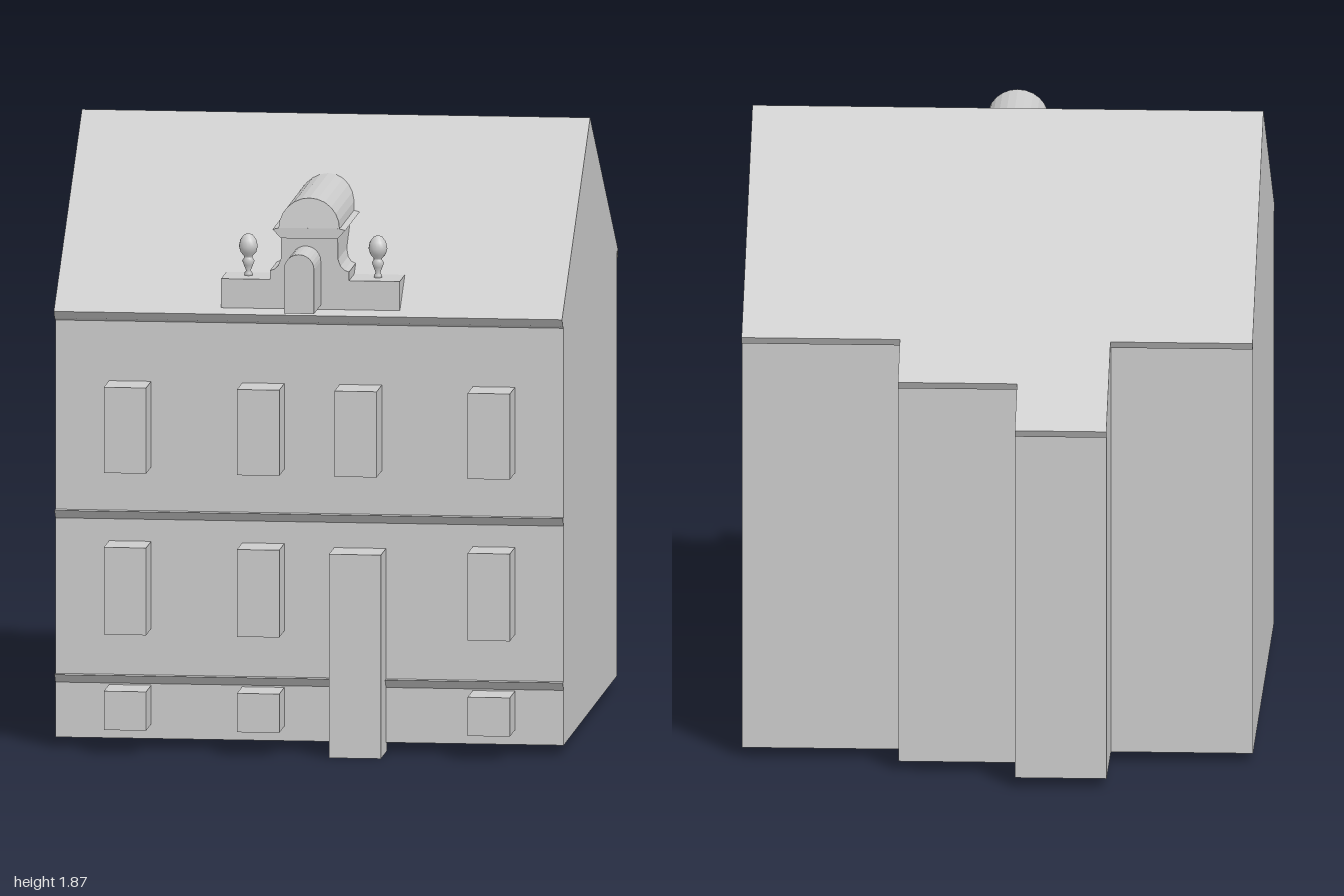
import * as THREE from 'three';

const stone = new THREE.MeshStandardMaterial({ color: 0xcccccc });
stone.name = 'light grey';
const smoothStone = stone;

const RIDGE = [0.065, 1.865];
const backRoofY = (z) => RIDGE[1] - (RIDGE[0] - z) * 0.681;

export function createModel() {
  const house = new THREE.Group();
  house.name = 'house';

  const add = (name, geometry) => {
    const mesh = new THREE.Mesh(geometry, smoothStone);
    mesh.name = name;
    house.add(mesh);
    return mesh;
  };
  const shapeOf = (pts) => new THREE.Shape(pts.map(([a, b]) => new THREE.Vector2(a, b)));

  // Side profile given as [z, y], swept from x0 to x1
  const sweepX = (name, pts, x0, x1) => {
    const g = new THREE.ExtrudeGeometry(shapeOf(pts), { depth: x1 - x0, bevelEnabled: false });
    g.rotateY(-Math.PI / 2).translate(x1, 0, 0);
    return add(name, g);
  };
  // Front outline swept from z0 to z1
  const sweepZ = (name, shape, z0, z1) => {
    const g = new THREE.ExtrudeGeometry(shape, { depth: z1 - z0, bevelEnabled: false, curveSegments: 6 });
    g.translate(0, 0, z0);
    return add(name, g);
  };
  const box = (name, x0, x1, y0, y1, z0, z1) => {
    const g = new THREE.BoxGeometry(x1 - x0, y1 - y0, z1 - z0);
    g.translate((x0 + x1) / 2, (y0 + y1) / 2, (z0 + z1) / 2);
    return add(name, g);
  };

  // Back wall and eave, shared by the main block and the rear extensions
  const backEdge = (wall, eave) => [
    [eave, backRoofY(eave)],
    [eave + 0.012, backRoofY(eave) - 0.022],
    [wall, backRoofY(wall) - 0.012],
    [wall, 0.03],
  ];

  // Main block with gabled roof
  sweepX('mainBlock', [
    [0.79, 0.03], [0.79, 1.32], [0.815, 1.33], [0.835, 1.353], RIDGE,
    ...backEdge(-0.67, -0.703),
  ], -0.785, 0.78);

  // Stepped rear extensions under the same roof slope
  const rear = (name, wall, eave, x0, x1) => sweepX(name, [
    [-0.66, 0.03], [-0.66, backRoofY(-0.66)], ...backEdge(wall, eave),
  ], x0, x1);
  rear('deepRearExtension', -0.975, -1.0, -0.35, -0.07);
  rear('shallowRearExtension', -0.805, -0.845, -0.07, 0.295);

  // Sloped ledges between the storeys
  for (const [x0, x1, y] of [[-0.785, 0.78, 0.735], [-0.785, 0.78, 0.227]]) {
    sweepX('ledge', [[0.785, y], [0.817, y], [0.79, y - 0.027], [0.785, y - 0.027]], x0, x1);
  }

  // Projecting windows, with the door taking the third bay
  const bays = [-0.62, -0.21, 0.09, 0.50];
  const rows = [['basementWindow', 0.075, 0.195], ['lowerWindow', 0.37, 0.64], ['upperWindow', 0.87, 1.135]];
  for (const [name, y0, y1] of rows) {
    bays.forEach((x, i) => {
      if (i === 2 && name !== 'upperWindow') return;
      box(name, x, x + 0.13, y0, y1, 0.76, 0.93);
    });
  }
  box('door', 0.073, 0.233, 0, 0.63, 0.76, 0.93);

  // Dormer: parapet, shoulders and flared cornice, running back into the roof
  const right = [[0.278, 1.37], [0.278, 1.46], [0.122, 1.46], [0.122, 1.487],
    [0.108, 1.492], [0.096, 1.504], [0.088, 1.525], [0.087, 1.59]];
  const left = right.map(([x, y]) => [-Math.min(x, 0.272), y]).reverse();
  sweepZ('dormerFront', shapeOf([...right, ...left]), 0.4, 0.815);
  sweepZ('dormerCornice', shapeOf([[0.087, 1.59], [0.112, 1.617], [0.09, 1.622],
    [-0.09, 1.622], [-0.112, 1.617], [-0.087, 1.59]]), 0.35, 0.827);

  // Barrel roof of the dormer, with its front leaning back
  const arch = new THREE.Shape();
  arch.absarc(0, 1.62, 0.094, 0, Math.PI, false);
  const barrel = sweepZ('dormerBarrelRoof', arch, 0.25, 0.827).geometry;
  const p = barrel.attributes.position;
  for (let i = 0; i < p.count; i++) {
    if (p.getZ(i) > 0.8) p.setZ(i, 0.827 - (p.getY(i) - 1.62) * 0.13);
  }
  barrel.computeVertexNormals();

  // Arched dormer window
  const opening = new THREE.Shape();
  opening.moveTo(-0.058, 1.383);
  opening.lineTo(0.035, 1.383);
  opening.lineTo(0.035, 1.519);
  opening.absarc(-0.0115, 1.519, 0.0465, 0, Math.PI, false);
  opening.closePath();
  sweepZ('dormerWindow', opening, 0.76, 1.0);

  // Ball finials on the parapet
  const profile = [[0, 1.455], [0.012, 1.455], [0.012, 1.468], [0.007, 1.475], [0.014, 1.492],
    [0.019, 1.506], [0.013, 1.514], [0.013, 1.52], [0.024, 1.532], [0.029, 1.55],
    [0.025, 1.57], [0.014, 1.585], [0, 1.591]].map(([r, y]) => new THREE.Vector2(r, y));
  for (const x of [-0.197, 0.202]) {
    add('finial', new THREE.LatheGeometry(profile, 16)).position.set(x, 0, 0.735);
  }

  return house;
}
